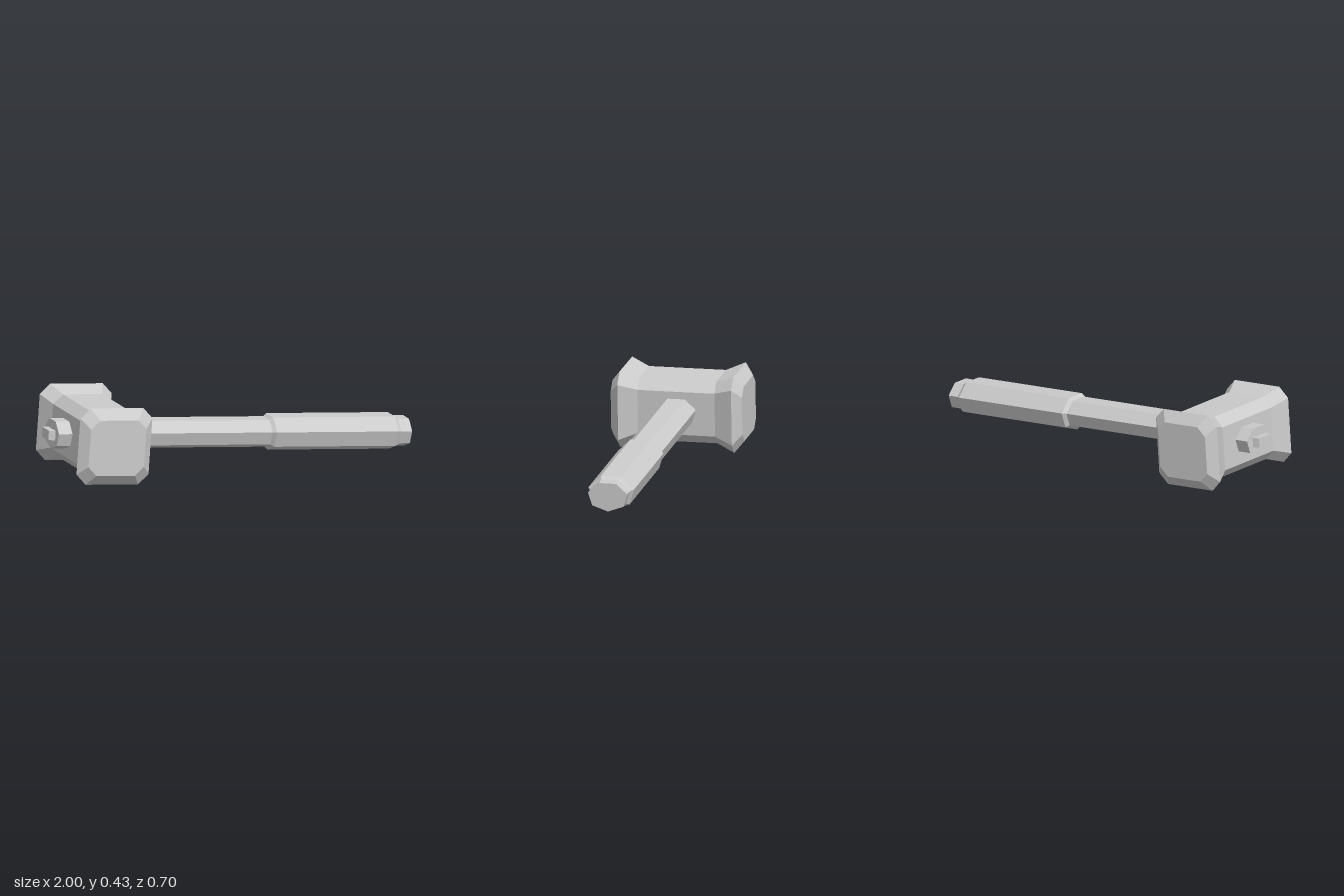
import * as THREE from 'three';

const material = new THREE.MeshStandardMaterial({ color: 0xcccccc, flatShading: true });

// Skins a row of convex rings (counter-clockwise seen from the last ring) and caps both ends.
function loft(name, rings) {
  const n = rings[0].length;
  const index = [];
  for (let i = 0; i < rings.length - 1; i++) {
    for (let j = 0; j < n; j++) {
      const a = i * n + j, b = i * n + (j + 1) % n;
      index.push(a, b, b + n, a, b + n, a + n);
    }
  }
  const last = (rings.length - 1) * n;
  for (let j = 1; j < n - 1; j++) {
    index.push(0, j + 1, j, last, last + j, last + j + 1);
  }
  const indexed = new THREE.BufferGeometry();
  indexed.setAttribute('position', new THREE.Float32BufferAttribute(rings.flat(2), 3));
  indexed.setIndex(index);
  const geometry = indexed.toNonIndexed();
  geometry.computeVertexNormals();
  const mesh = new THREE.Mesh(geometry, material);
  mesh.name = name;
  return mesh;
}

// Seven-sided handle section: flat on top, an edge at the bottom, wider than tall.
function heptagon(x, ry, rz) {
  return Array.from({ length: 7 }, (_, i) => {
    const t = Math.PI + (i * 2 * Math.PI) / 7;
    return [x, Math.cos(t) * ry, Math.sin(t) * rz];
  });
}

// Rectangle with cut corners, for the head.
function octagon(z, hx, hy, cut) {
  const u = hx - cut, v = hy - cut;
  return [[hx, -v], [hx, v], [u, hy], [-u, hy], [-hx, v], [-hx, -v], [-u, -hy], [u, -hy]]
    .map(([x, y]) => [x, y, z]);
}

// Rectangular section, for the wedge.
function rectangle(x, hy, hz) {
  return [[x, -hy, -hz], [x, hy, -hz], [x, hy, hz], [x, -hy, hz]];
}

export function createModel() {
  const model = new THREE.Group();
  model.name = 'hammer';

  // The whole hammer lies tilted, resting on its head and grip.
  const tilted = new THREE.Group();
  tilted.name = 'tiltedHammer';
  tilted.position.y = 0.167;
  tilted.rotation.z = -0.0725;
  model.add(tilted);

  // Shaft with the thicker grip and its bevelled ends
  tilted.add(loft('handle', [
    heptagon(-0.965, 0.08, 0.107),
    heptagon(0.222, 0.08, 0.107),
    heptagon(0.24, 0.096, 0.125),
    heptagon(0.915, 0.096, 0.125),
    heptagon(0.938, 0.08, 0.107),
    heptagon(0.997, 0.08, 0.107),
  ]));

  // Wedge driven into the end of the shaft
  tilted.add(loft('wedge', [
    rectangle(-1.0, 0.025, 0.048),
    rectangle(-0.95, 0.025, 0.06),
  ]));

  // Head: narrow waist, flared rims, bevelled striking faces
  const half = [
    [0.205, 0.16, 0.167, 0.051],
    [0.303, 0.2, 0.203, 0.054],
    [0.35, 0.154, 0.147, 0.047],
  ];
  const head = loft('head', [
    ...half.slice().reverse().map(([z, ...size]) => octagon(-z, ...size)),
    ...half.map(([z, ...size]) => octagon(z, ...size)),
  ]);
  head.position.set(-0.729, -0.005, 0);
  tilted.add(head);

  return model;
}
